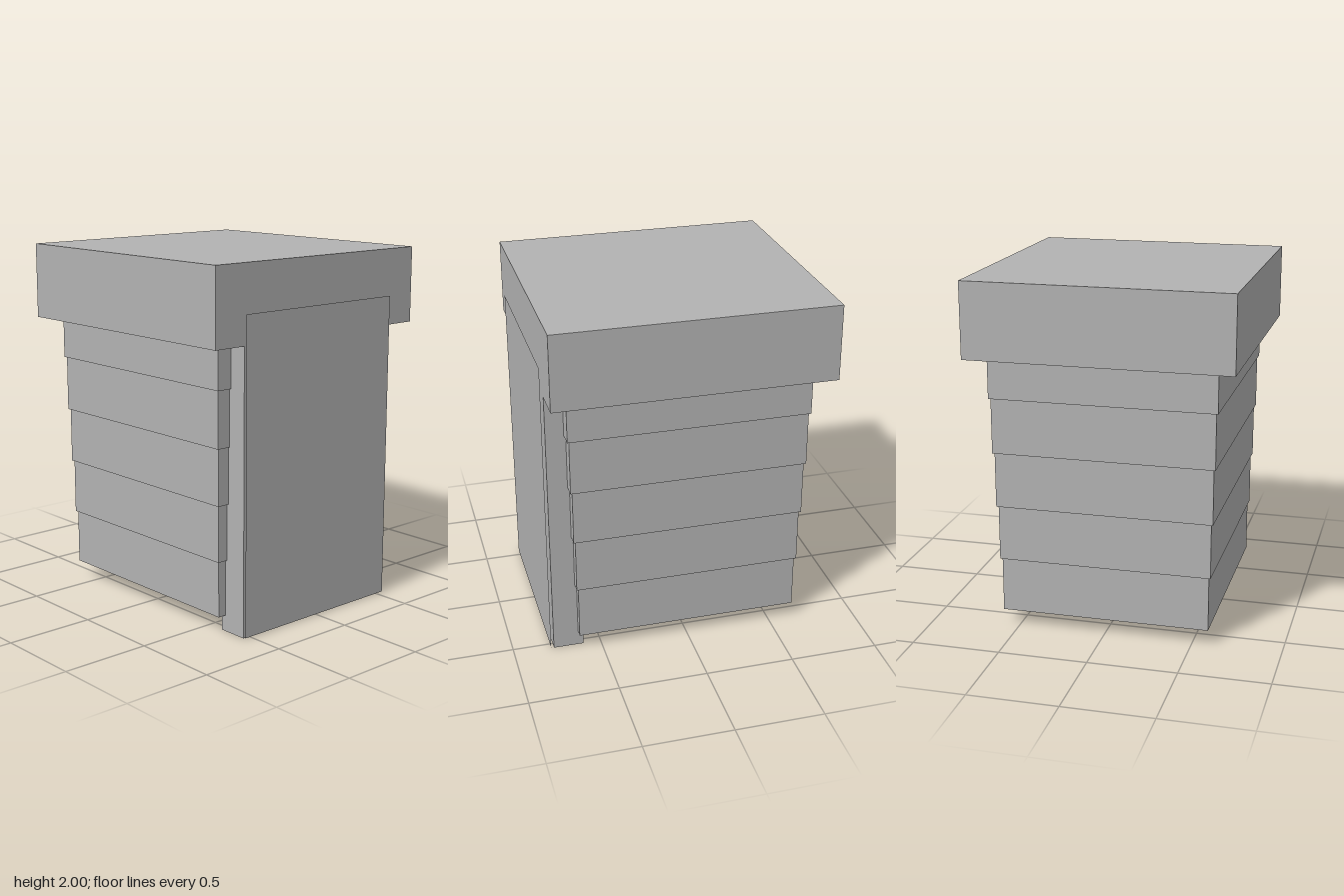
import * as THREE from 'three';

export function createModel() {
  const model = new THREE.Group();
  const grey = new THREE.MeshStandardMaterial({ color: 0xb2b2b2 });
  grey.name = 'plain grey';
  const greySheet = new THREE.MeshStandardMaterial({ color: 0xb2b2b2, side: THREE.DoubleSide });
  greySheet.name = 'plain grey sheet';

  // Box centred on x, given by its half width and its y and z limits
  function block(name, halfWidth, y0, y1, z0, z1) {
    const mesh = new THREE.Mesh(new THREE.BoxGeometry(halfWidth * 2, y1 - y0, z1 - z0), grey);
    mesh.position.set(0, (y0 + y1) / 2, (z0 + z1) / 2);
    mesh.name = name;
    model.add(mesh);
  }

  // Stacked body tiers, each slightly wider than the one below
  const bottoms = [0.09, 0.402, 0.715, 1.028, 1.34, 1.575];
  for (let i = 0; i < 5; i++) {
    const grow = i * 0.0104;
    block(`bodyTier${i + 1}`, 0.591 + grow, bottoms[i], bottoms[i + 1], -0.641 - grow, 0.63 + grow);
  }

  // Overhanging lid
  block('lid', 0.738, 1.575, 2, -0.788, 0.772);

  // Front slab reaching down to the ground
  block('frontSlab', 0.542, 0, 1.575, 0.6, 0.772);

  // Thin sheet standing just off the front
  const panel = new THREE.Mesh(new THREE.PlaneGeometry(1.084, 1.735), greySheet);
  panel.position.set(0, 0.8725, 0.788);
  panel.name = 'frontPanel';
  model.add(panel);

  return model;
}
